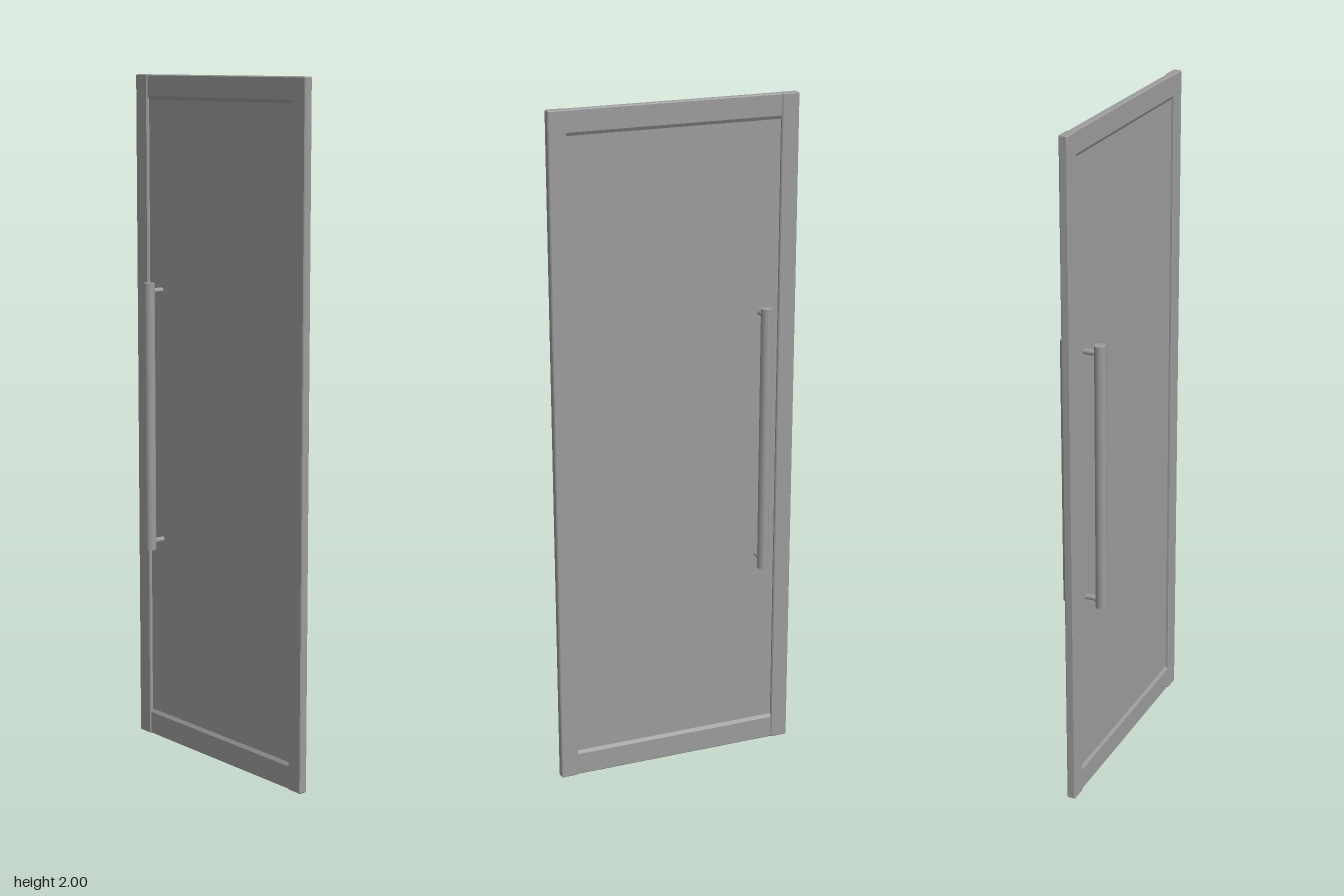
import * as THREE from 'three';

const grey = new THREE.MeshStandardMaterial({ color: 0x9c9c9c });

// Octagonal outline: a rectangle with its corners cut, larger cuts possible at the top
function cutRectangle(w, h, cut, topX = cut, topY = cut) {
  const a = w / 2, b = h / 2;
  return new THREE.Shape([
    [a, -b + cut], [a, b - topY], [a - topX, b], [-a + topX, b],
    [-a, b - topY], [-a, -b + cut], [-a + cut, -b], [a - cut, -b],
  ].map(([x, y]) => new THREE.Vector2(x, y)));
}

// Upright with every edge chamfered, the ends included
function stileGeometry(w, h, length, cut) {
  const inner = cutRectangle(w - 2 * cut, h - 2 * cut, cut * 0.6);
  const g = new THREE.ExtrudeGeometry(inner, {
    depth: length - 2 * cut, bevelThickness: cut, bevelSize: cut, bevelSegments: 1,
  });
  return g.translate(0, 0, cut - length / 2).rotateX(Math.PI / 2);
}

// Rail along z, with its upper edges sloping in to meet the panel
function railGeometry(h) {
  const outline = cutRectangle(0.02, h, 0.003, 0.006, 0.01);
  return new THREE.ExtrudeGeometry(outline, { depth: 0.634, bevelEnabled: false }).translate(0, 0, -0.317);
}

export function createModel() {
  const door = new THREE.Group();
  door.name = 'door';
  const add = (name, geometry, x, y, z, parent = door) => {
    const m = new THREE.Mesh(geometry, grey);
    m.name = name;
    m.position.set(x, y, z);
    parent.add(m);
    return m;
  };

  // Upright stiles at both edges
  const stile = stileGeometry(0.026, 0.052, 2, 0.0025);
  add('frontStile', stile, 0, 1, 0.341);
  add('backStile', stile, 0, 1, -0.341);

  // Rails, the top one turned over so its slope faces the panel
  add('topRail', railGeometry(0.072).rotateZ(Math.PI), 0, 1.964, 0);
  add('bottomRail', railGeometry(0.078), 0, 0.039, 0);

  // Thin infill panel
  add('panel', new THREE.BoxGeometry(0.008, 1.88, 0.634), 0, 1.005, 0);

  // Pull handles, one on each face
  const bar = new THREE.CylinderGeometry(0.0165, 0.0165, 0.8, 12);
  const post = new THREE.CylinderGeometry(0.008, 0.008, 0.05, 12).rotateZ(Math.PI / 2);
  for (const side of [1, -1]) {
    const handle = new THREE.Group();
    handle.name = side > 0 ? 'leftHandle' : 'rightHandle';
    add('handleBar', bar, side * 0.051, 1, -0.26, handle);
    for (const y of [0.624, 1.376]) add('handlePost', post, side * 0.026, y, -0.26, handle);
    door.add(handle);
  }
  return door;
}
